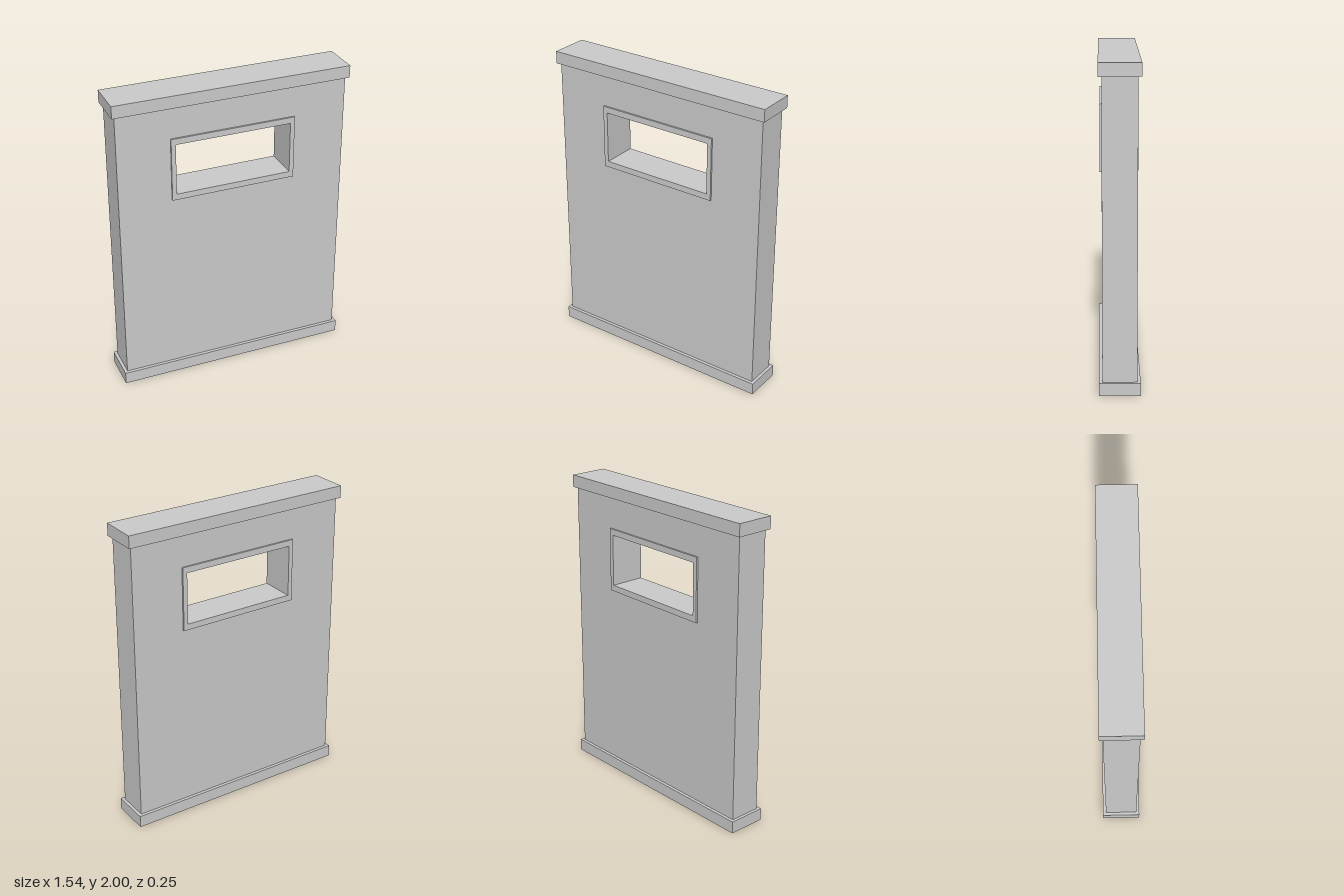
import * as THREE from 'three';

const W = 1.5, RAIL_W = 1.54, RAIL_H = 0.08, RAIL_D = 0.252;
const WALL_D = 0.21, FRAME_D = 0.233;
const WINDOW_Y = 1.506;

// Rectangular outline centred on x = 0
function rect(target, w, h, y) {
  target.moveTo(-w / 2, y - h / 2);
  target.lineTo(w / 2, y - h / 2);
  target.lineTo(w / 2, y + h / 2);
  target.lineTo(-w / 2, y + h / 2);
  target.closePath();
  return target;
}

// Slab with a rectangular opening, centred on z = 0
function slabWithOpening(w, h, y, holeW, holeH, depth) {
  const shape = rect(new THREE.Shape(), w, h, y);
  shape.holes.push(rect(new THREE.Path(), holeW, holeH, WINDOW_Y));
  const geometry = new THREE.ExtrudeGeometry(shape, { depth, bevelEnabled: false });
  return geometry.translate(0, 0, -depth / 2);
}

export function createModel() {
  const group = new THREE.Group();
  const material = new THREE.MeshStandardMaterial({ color: 0xcccccc });
  const add = (name, geometry, y = 0) => {
    const mesh = new THREE.Mesh(geometry, material);
    mesh.name = name;
    mesh.position.y = y;
    group.add(mesh);
  };

  // Wall panel between the two rails
  add('wallPanel', slabWithOpening(W, 2 - 2 * RAIL_H, 1, 0.757, 0.337, WALL_D));

  // Window frame, standing proud on both faces
  add('windowFrame', slabWithOpening(0.815, 0.417, WINDOW_Y, 0.757, 0.337, FRAME_D));

  // Base and top rails
  const rail = new THREE.BoxGeometry(RAIL_W, RAIL_H, RAIL_D);
  add('baseRail', rail, RAIL_H / 2);
  add('topRail', rail, 2 - RAIL_H / 2);

  return group;
}
